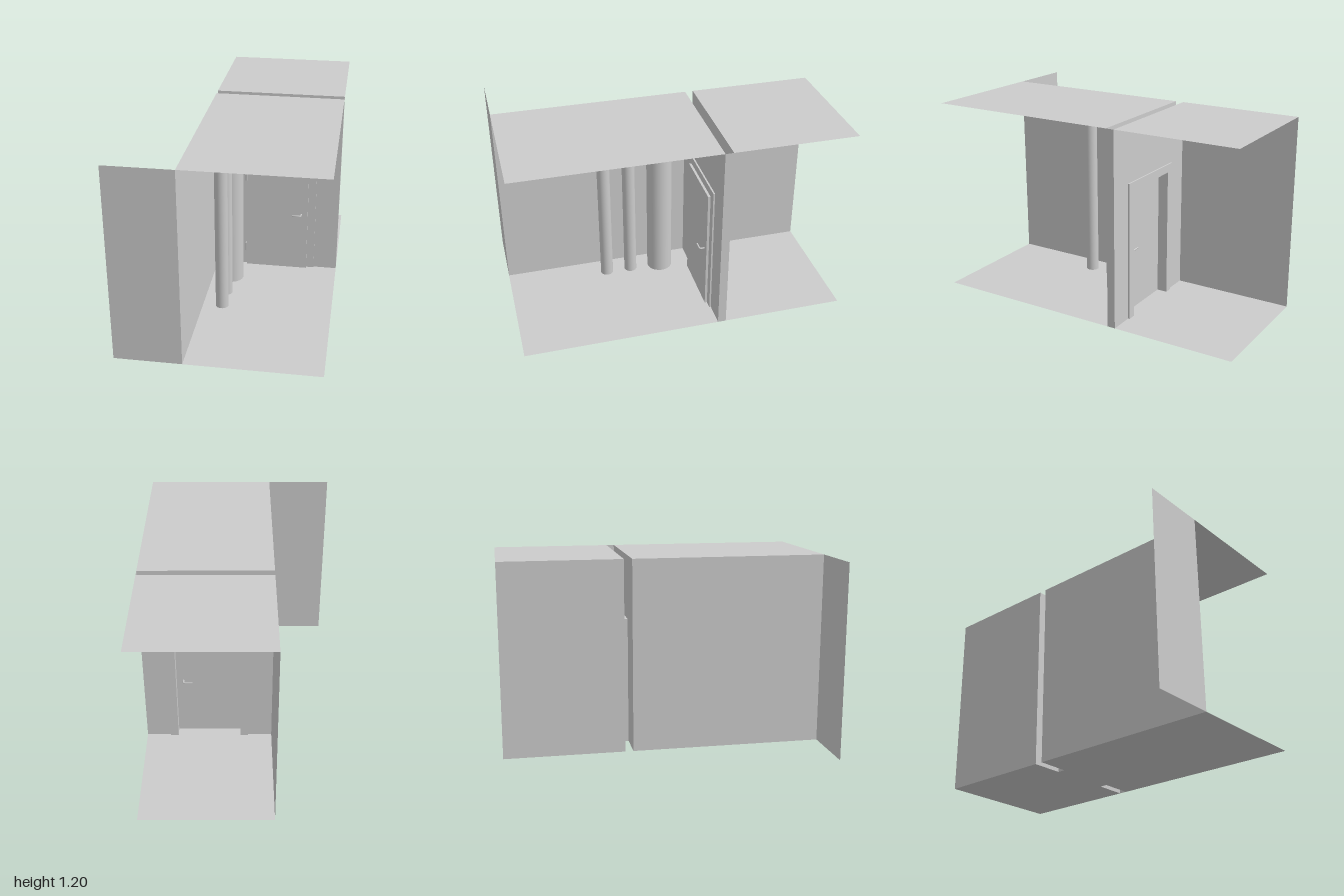
import * as THREE from 'three';

const mat = new THREE.MeshStandardMaterial({ color: 0xcccccc, side: THREE.DoubleSide });

function add(parent, name, geometry, x = 0, y = 0, z = 0) {
  const mesh = new THREE.Mesh(geometry, mat);
  mesh.name = name;
  mesh.position.set(x, y, z);
  parent.add(mesh);
  return mesh;
}

// Thin sheets: horizontal (constant y), sideways (constant x) and frontal (constant z)
const sheetY = (p, name, x0, x1, z0, z1, y) =>
  add(p, name, new THREE.PlaneGeometry(x1 - x0, z1 - z0).rotateX(-Math.PI / 2), (x0 + x1) / 2, y, (z0 + z1) / 2);
const sheetX = (p, name, z0, z1, y0, y1, x) =>
  add(p, name, new THREE.PlaneGeometry(z1 - z0, y1 - y0).rotateY(Math.PI / 2), x, (y0 + y1) / 2, (z0 + z1) / 2);
const sheetZ = (p, name, x0, x1, y0, y1, z) =>
  add(p, name, new THREE.PlaneGeometry(x1 - x0, y1 - y0), (x0 + x1) / 2, (y0 + y1) / 2, z);

// Upside-down U: an outer rectangle with a doorway cut from its lower edge
function archway(x0, x1, top, dx0, dx1, dTop) {
  return new THREE.Shape([
    [x0, 0], [dx0, 0], [dx0, dTop], [dx1, dTop], [dx1, 0], [x1, 0], [x1, top], [x0, top],
  ].map(([x, y]) => new THREE.Vector2(x, y)));
}

export function createModel() {
  const model = new THREE.Group();
  model.name = 'corridor';

  const H = 1.2, L = -0.2, R = 0.6;      // room height, left and right limits
  const WF = -0.2, WB = -0.25;           // front and back faces of the partition
  const D0 = 0, D1 = 0.4, DH = 0.8;      // doorway

  // Two open rooms: floor, ceiling and one side wall each
  for (const [room, z0, z1] of [['front', WF, 1], ['back', -1, WB]]) {
    sheetY(model, room + 'Floor', L, R, z0, z1, 0);
    sheetY(model, room + 'Ceiling', L, R, z0, z1, H);
    sheetX(model, room + 'SideWall', z0, z1, 0, H, L);
  }
  sheetZ(model, 'wingWall', -0.6, L, 0, H, 1);

  // Hollow partition with a doorway
  const partition = new THREE.Group();
  partition.name = 'partition';
  model.add(partition);
  for (const z of [WF, WB])
    add(partition, 'partitionFace', new THREE.ShapeGeometry(archway(L, R, H, D0, D1, DH)), 0, 0, z);
  sheetX(partition, 'partitionEnd', WB, WF, 0, H, R);
  sheetX(partition, 'leftJamb', WB, WF, 0, DH, D0);
  sheetX(partition, 'rightJamb', WB, WF, 0, DH, D1);
  sheetY(partition, 'doorHead', D0, D1, WB, WF, DH);
  sheetY(partition, 'threshold', D0, D1, WB, WF, 0);

  // Flat casing around the doorway on both sides
  const casing = new THREE.ExtrudeGeometry(
    archway(D0 - 0.05, D1 + 0.05, DH + 0.05, D0, D1, DH), { depth: 0.01, bevelEnabled: false });
  add(partition, 'doorCasing', casing, 0, 0, WF);
  add(partition, 'doorCasing', casing, 0, 0, WB - 0.01);

  // Door leaf with hinges and a lever on each side
  const door = new THREE.Group();
  door.name = 'door';
  model.add(door);
  add(door, 'doorLeaf', new THREE.BoxGeometry(D1 - D0, DH, 0.02), (D0 + D1) / 2, DH / 2, -0.185);
  for (const y of [0.13, 0.65])
    add(door, 'hinge', new THREE.CylinderGeometry(0.007, 0.007, 0.06, 16), -0.005, y, -0.183);

  for (const [face, dir] of [[-0.175, 1], [-0.195, -1]]) {
    const path = new THREE.CurvePath();
    const p = (x, d) => new THREE.Vector3(x, 0.4, face + dir * d);
    path.add(new THREE.LineCurve3(p(0.357, 0), p(0.357, 0.02)));
    path.add(new THREE.QuadraticBezierCurve3(p(0.357, 0.02), p(0.357, 0.03), p(0.347, 0.03)));
    path.add(new THREE.LineCurve3(p(0.347, 0.03), p(0.3, 0.03)));
    add(door, 'doorHandle', new THREE.TubeGeometry(path, 24, 0.005, 10));
    add(door, 'handleEnd', new THREE.CircleGeometry(0.005, 10).rotateY(-Math.PI / 2), 0.3, 0.4, face + dir * 0.03);
  }

  // Floor-to-ceiling pipes
  for (const [r, z] of [[0.08, 0], [0.04, 0.2], [0.04, 0.36]])
    add(model, 'pipe', new THREE.CylinderGeometry(r, r, H, 48), -0.08, H / 2, z);

  return model;
}
